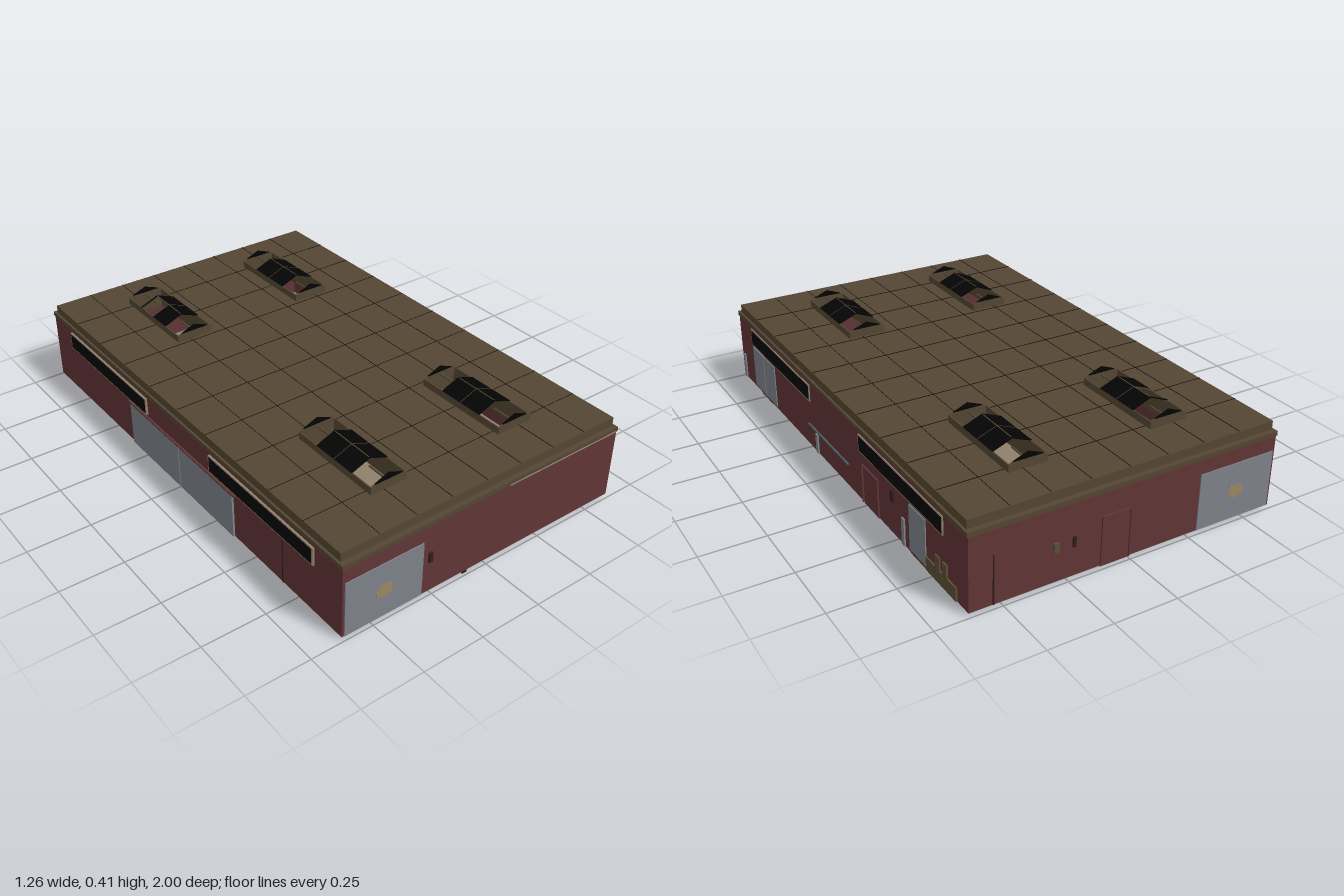
import * as THREE from 'three';

const material = (name, color, side = THREE.FrontSide) => {
  const m = new THREE.MeshStandardMaterial({ color, side });
  m.name = name;
  return m;
};

export function createModel() {
  const model = new THREE.Group();
  model.name = 'warehouse';
  const maroon = material('maroon wall', 0x613536);
  const darkMaroon = material('dark maroon', 0x351c1c);
  const brown = material('brown roof', 0x544633);
  const seam = material('dark seam', 0x14110d, THREE.DoubleSide);
  const beige = material('beige', 0x8f806b);
  const tan = material('tan sign', 0x9c8662);
  const grey = material('door grey', 0x7e828a);
  const black = material('black glass', 0x040404, THREE.DoubleSide);
  const olive = material('olive', 0x5b4e34);
  const teal = material('rail grey', 0x4c5c60);

  const add = (name, geometry, mat, parent = model) => {
    const mesh = new THREE.Mesh(geometry, mat);
    mesh.name = name;
    parent.add(mesh);
    return mesh;
  };
  const box = (name, mat, x0, x1, y0, y1, z0, z1, parent = model) => {
    const mesh = add(name, new THREE.BoxGeometry(x1 - x0, y1 - y0, z1 - z0), mat, parent);
    mesh.position.set((x0 + x1) / 2, (y0 + y1) / 2, (z0 + z1) / 2);
    return mesh;
  };

  const W = 0.622, D = 0.99, T = 0.012, TOP = 0.346;

  // Thin plate on an outside wall; a0..a1 runs along x (front, back) or z (left, right)
  const plate = (side, name, mat, a0, a1, y0, y1, d = 0.004) => {
    if (side === 'front') return box(name, mat, a0, a1, y0, y1, D - 0.002, D + d);
    if (side === 'back') return box(name, mat, a0, a1, y0, y1, -D - d, -D + 0.002);
    if (side === 'left') return box(name, mat, W - 0.002, W + d, y0, y1, a0, a1);
    return box(name, mat, -W - d, -W + 0.002, y0, y1, a0, a1);
  };
  // Door frame painted like the wall
  const doorFrame = (side, a0, a1, top) => {
    const t = 0.004;
    plate(side, 'doorJamb', maroon, a0, a0 + t, 0.012, top, 0.006);
    plate(side, 'doorJamb', maroon, a1 - t, a1, 0.012, top, 0.006);
    plate(side, 'doorHead', maroon, a0, a1, top, top + t, 0.006);
  };

  // Floor and walls
  box('floorSlab', beige, -W + 0.001, W - 0.001, 0.009, 0.018, -D + 0.001, D - 0.001);
  for (const s of [-1, 1]) {
    const x = s * (W - T / 2), z = s * (D - T / 2);
    box('sideWall', maroon, x - T / 2, x + T / 2, 0.011, 0.296, -D, D);
    box('endWall', maroon, -W + T, W - T, 0.011, 0.296, z - T / 2, z + T / 2);
  }

  // Roof layers pierced by four skylight openings
  const skylights = [-1, 1].flatMap(sx => [-1, 1].map(sz => [sx * 0.287, sz * 0.605]));
  const HX = 0.077, HZ = 0.199;
  const rect = (path, cx, cy, hx, hy) => {
    path.moveTo(cx - hx, cy - hy);
    path.lineTo(cx + hx, cy - hy);
    path.lineTo(cx + hx, cy + hy);
    path.lineTo(cx - hx, cy + hy);
    path.closePath();
    return path;
  };
  const roofLayer = (name, hx, hz, y0, y1) => {
    const shape = rect(new THREE.Shape(), 0, 0, hx, hz);
    for (const [x, z] of skylights) shape.holes.push(rect(new THREE.Path(), x, z, HX - 0.005, HZ - 0.005));
    const g = new THREE.ExtrudeGeometry(shape, { depth: y1 - y0, bevelEnabled: false });
    g.rotateX(-Math.PI / 2).translate(0, y0, 0);
    add(name, g, brown);
  };
  roofLayer('roofTrim', W + 0.004, D + 0.002, 0.294, 0.312);
  roofLayer('roof', 0.617, 0.972, 0.312, TOP);
  plate('front', 'gutterStrip', beige, 0.09, 0.62, 0.295, 0.298, 0.005);

  // Upright roof seams, broken where they meet a skylight
  const FIN = 0.003;
  const seamLine = (alongX, at, end, centre, half, holeHalf, holeAt, holeDepth) => {
    const hit = Math.abs(Math.abs(at) - holeAt) < holeDepth;
    const stops = hit ? [-end, -centre - half, -centre + half, centre - half, centre + half, end] : [-end, end];
    for (let i = 0; i < stops.length; i += 2) {
      const mid = (stops[i] + stops[i + 1]) / 2;
      const m = add('roofSeam', new THREE.PlaneGeometry(stops[i + 1] - stops[i], FIN), seam);
      if (alongX) m.position.set(mid, TOP + FIN / 2, at);
      else {
        m.position.set(at, TOP + FIN / 2, mid);
        m.rotation.y = Math.PI / 2;
      }
    }
  };
  for (let i = 1; i < 10; i++) seamLine(true, -0.972 + i * 0.1944, 0.617, 0.287, HX, HX, 0.605, HZ);
  for (let i = 1; i < 8; i++) seamLine(false, -0.617 + i * 0.15425, 0.972, 0.605, HZ, HZ, 0.287, HX);

  // Gabled skylights: curb, end gables, middle glass and glazing bars
  const EAVE = 0.374, RIDGE = 0.404, SPLIT = 0.381;
  const splitX = HX * (RIDGE - SPLIT) / (RIDGE - EAVE);
  const profile = (points, depth) => new THREE.ExtrudeGeometry(
    new THREE.Shape(points.map(p => new THREE.Vector2(...p))), { depth, bevelEnabled: false });
  const slope = Math.atan2(RIDGE - EAVE, HX), rafter = Math.hypot(HX, RIDGE - EAVE);
  for (const [cx, cz] of skylights) {
    const sky = new THREE.Group();
    sky.name = 'skylight';
    sky.position.set(cx, 0, cz);
    model.add(sky);
    for (const s of [-1, 1]) {
      const x = s * (HX - 0.0025), z = s * (HZ - 0.003);
      box('curbSide', brown, x - 0.0025, x + 0.0025, 0.34, EAVE, -HZ, HZ, sky);
      add('curbEnd', profile([[-HX, 0.34], [HX, 0.34], [HX, EAVE], [splitX, SPLIT], [-splitX, SPLIT], [-HX, EAVE]], 0.006),
        brown, sky).position.z = z - 0.003;
      add('gableGlass', profile([[-splitX, SPLIT], [splitX, SPLIT], [0, RIDGE]], 0.006), black, sky).position.z = z - 0.003;
      // Sloping panes; one is missing
      const sloped = (name, mat, z0, z1, thick) => {
        const m = add(name, new THREE.BoxGeometry(rafter, thick, z1 - z0), mat, sky);
        m.position.set(s * HX / 2, (EAVE + RIDGE) / 2, (z0 + z1) / 2);
        m.rotation.z = -s * slope;
      };
      const open = s < 0 && cx < 0 && cz < 0;
      sloped('glassPane', black, open ? 0 : -0.095, 0.095, 0.002);
      for (const zb of [-0.095, 0.095]) sloped('glazingBar', black, zb - 0.002, zb + 0.002, 0.004);
      sloped('glazingBar', brown, -0.001, 0.001, 0.004);
      box('endBar', brown, -0.003, 0.003, 0.367, 0.372, Math.min(s * 0.095, z), Math.max(s * 0.095, z), sky);
    }
    box('ridgeBar', brown, -0.002, 0.002, RIDGE - 0.002, RIDGE + 0.001, -0.095, 0.095, sky);
  }

  // Ribbon windows on both long sides
  for (const [side, d] of [['left', 0.004], ['right', 0.008]]) {
    for (const [a, b] of [[-0.835, -0.215], [0.225, 0.845]]) {
      plate(side, 'windowFrame', beige, a, b, 0.212, 0.283, d);
      plate(side, 'windowGlass', black, a + 0.007, b - 0.007, 0.218, 0.277, d + 0.0015);
    }
  }

  // Large end doors with a tan sign, and wall lamps
  for (const side of ['front', 'back']) {
    plate(side, 'largeDoor', grey, -0.613, -0.29, 0.013, 0.236);
    plate(side, 'doorSign', tan, -0.485, -0.42, 0.105, 0.14, 0.005);
    plate(side, 'doorSignTop', tan, -0.475, -0.425, 0.14, 0.15, 0.005);
    plate(side, 'doorSignBase', tan, -0.465, -0.435, 0.097, 0.105, 0.005);
  }
  plate('front', 'wallLamp', darkMaroon, -0.266, -0.25, 0.14, 0.18, 0.007);
  plate('back', 'wallLamp', olive, 0.29, 0.31, 0.13, 0.165, 0.01);
  plate('back', 'switchBox', darkMaroon, 0.222, 0.234, 0.125, 0.165, 0.006);
  doorFrame('back', 0.0, 0.12, 0.2);
  plate('back', 'downpipe', darkMaroon, 0.53, 0.534, 0.012, 0.2);

  // Left side: doors, posts, rail, lamp and stacked crates
  plate('left', 'loadingDoor', grey, 0.6, 0.84, 0.022, 0.203);
  plate('left', 'doorMullion', grey, 0.718, 0.722, 0.022, 0.203, 0.006);
  plate('left', 'entranceDoor', grey, -0.715, -0.6, 0.022, 0.203);
  doorFrame('left', -0.365, -0.235, 0.165);
  for (const [z, h] of [[0.96, 0.12], [0.175, 0.093], [-0.555, 0.12]])
    plate('left', 'post', grey, z - 0.01, z + 0.01, 0.012, h, 0.006);
  plate('left', 'handRail', teal, -0.115, 0.25, 0.103, 0.109, 0.007);
  plate('left', 'wallLamp', darkMaroon, -0.488, -0.468, 0.143, 0.188, 0.007);
  plate('left', 'crates', olive, -0.92, -0.72, 0.012, 0.064, 0.006);
  plate('left', 'crate', olive, -0.812, -0.782, 0.064, 0.112, 0.006);
  plate('left', 'crate', olive, -0.86, -0.832, 0.064, 0.112, 0.006);

  // Right side: pair of sliding doors and a downpipe
  plate('right', 'slidingDoor', grey, -0.345, 0.012, 0.013, 0.195, 0.008);
  plate('right', 'slidingDoor', grey, 0.016, 0.373, 0.013, 0.195, 0.008);
  plate('right', 'doorTrack', maroon, -0.36, 0.388, 0.195, 0.201, 0.009);
  plate('right', 'downpipe', darkMaroon, 0.668, 0.672, 0.012, 0.2);

  // Small feet and door sills under the walls
  box('foot', darkMaroon, -0.1, -0.08, 0, 0.01, 0.98, D);
  box('backSill', maroon, 0.0, 0.12, 0.006, 0.011, -D, -0.98);
  for (const z of [-0.66, -0.3, 0.72]) box('sideSill', maroon, 0.614, W, 0.006, 0.011, z - 0.06, z + 0.06);

  return model;
}
